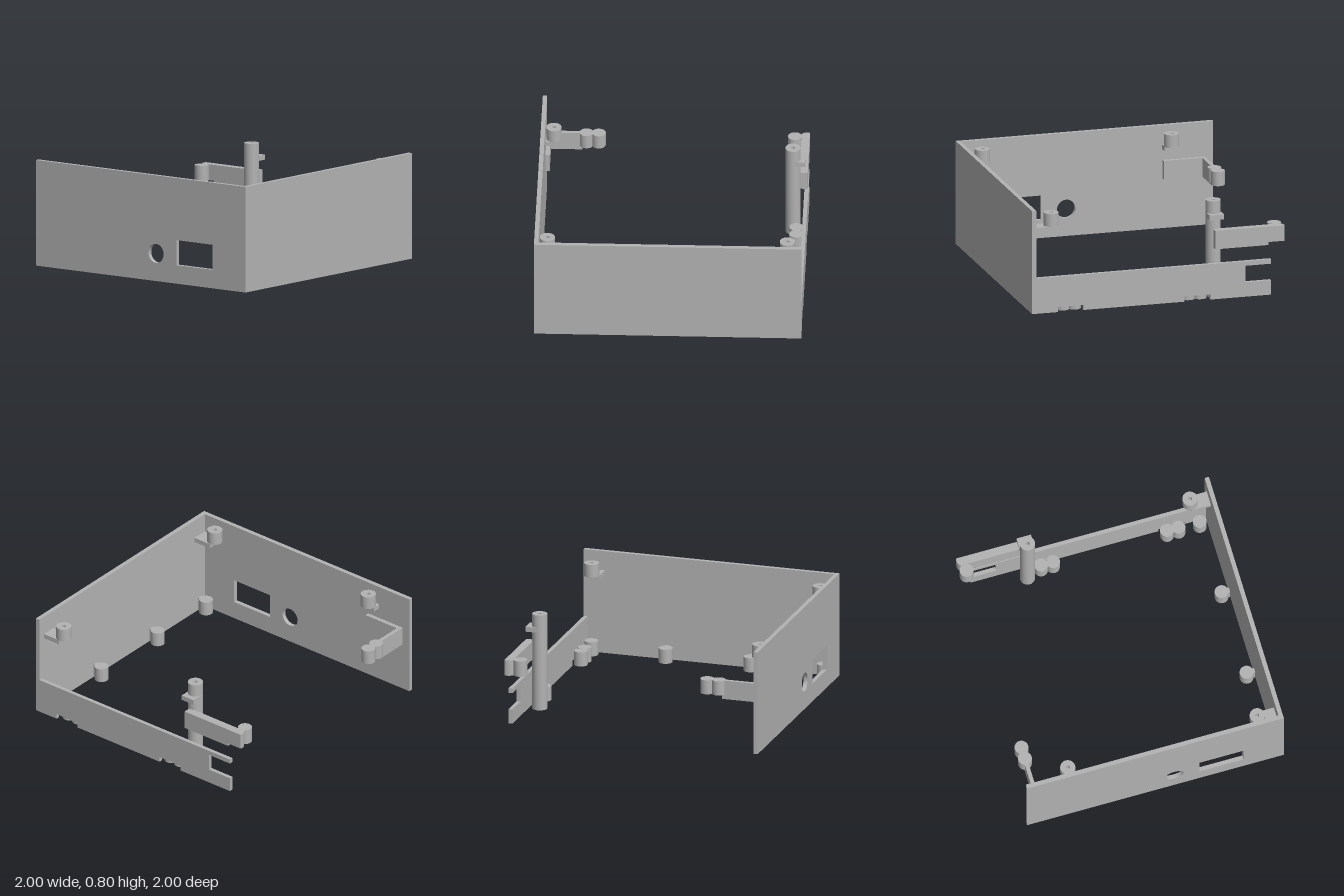
import * as THREE from 'three';
import { toCreasedNormals } from 'three/addons/utils/BufferGeometryUtils.js';

export function createModel() {
  const model = new THREE.Group();
  model.name = 'openEnclosure';
  const grey = new THREE.MeshStandardMaterial({ color: 0xb2b2b2 });
  grey.name = 'plasticGrey';

  const add = (name, geo) => {
    const mesh = new THREE.Mesh(geo, grey);
    mesh.name = name;
    model.add(mesh);
    return mesh;
  };
  const box = (name, x0, x1, y0, y1, z0, z1) =>
    add(name, new THREE.BoxGeometry(x1 - x0, y1 - y0, z1 - z0)
      .translate((x0 + x1) / 2, (y0 + y1) / 2, (z0 + z1) / 2));

  // Round boss with blind holes in the top and/or bottom
  const boss = (name, x, z, y0, y1, r, topHole, bottomHole, depth = 0.06) => {
    const p = [];
    if (bottomHole) p.push([0, y0 + depth], [bottomHole, y0 + depth], [bottomHole, y0]);
    else p.push([0, y0]);
    p.push([r, y0], [r, y1]);
    if (topHole) p.push([topHole, y1], [topHole, y1 - depth], [0, y1 - depth]);
    else p.push([0, y1]);
    const geo = new THREE.LatheGeometry(p.map(([a, b]) => new THREE.Vector2(a, b)), 32);
    add(name, toCreasedNormals(geo, 0.6).translate(x, 0, z));
  };

  // Upright plate extruded along z
  const plate = (name, shape, z0, z1) =>
    add(name, toCreasedNormals(new THREE.ExtrudeGeometry(shape,
      { depth: z1 - z0, bevelEnabled: false, curveSegments: 32 }).translate(0, 0, z0), 0.6));
  const polygon = (pts) => new THREE.Shape(pts.map(([x, y]) => new THREE.Vector2(x, y)));

  // Front wall with a round and a rectangular opening
  const front = polygon([[-1, 0], [1, 0], [1, 0.8], [-1, 0.8]]);
  front.holes.push(new THREE.Path().absarc(0.147, 0.21, 0.072, 0, Math.PI * 2, true));
  front.holes.push(polygon([[0.342, 0.14], [0.342, 0.33], [0.685, 0.33], [0.685, 0.14]]));
  plate('frontWall', front, 0.967, 1);

  // Full-height side wall
  box('sideWall', 0.967, 1, 0, 0.8, -1, 0.967);

  // Low back wall: notched underneath, cut out at its free end
  plate('backWall', polygon([
    [0.967, 0], [0.967, 0.275], [-0.865, 0.275], [-0.865, 0.24], [-0.665, 0.24],
    [-0.665, 0.112], [-0.865, 0.112], [-0.865, 0], [-0.39, 0], [-0.39, 0.04],
    [-0.19, 0.04], [-0.19, 0], [0.6, 0], [0.6, 0.04], [0.8, 0.04], [0.8, 0],
  ]), -1, -0.97);

  // Base bosses, with ribs joining the side ones to the wall
  for (const x of [-0.33, -0.237, 0.65, 0.74, 0.905])
    boss('baseBoss', x, -0.92, 0, 0.11, 0.052, 0, 0.027);
  for (const z of [-0.337, 0.33, 0.905]) {
    boss('baseBoss', 0.905, z, 0, 0.11, 0.052, 0, 0.027);
    box('bossRib', 0.945, 0.967, 0, 0.11, z - 0.018, z + 0.018);
  }

  // Screw bosses near the rim, each on a tab
  for (const [x, z] of [[0.82, -0.89], [0.82, 0.905], [-0.655, 0.905]])
    boss('screwBoss', x, z, 0.65, 0.75, 0.057, 0.015, 0);
  box('screwTab', 0.82, 0.967, 0.615, 0.65, -0.945, -0.833);
  box('screwTab', 0.82, 0.967, 0.615, 0.65, 0.845, 0.967);
  box('screwTab', -0.71, -0.6, 0.615, 0.65, 0.905, 0.967);

  // Tall screw post and its tab
  boss('screwPost', -0.445, -0.89, 0, 0.745, 0.057, 0.015, 0.02);
  box('postTab', -0.503, -0.39, 0.61, 0.648, -0.985, -0.89);

  // Rear bracket with a rounded end and its boss
  plate('rearBracket', polygon([
    [-0.43, 0.387], [-0.43, 0.53], [-0.925, 0.53], [-0.925, 0.41],
    [-0.845, 0.41], [-0.845, 0.387],
  ]), -1, -0.937);
  const end = new THREE.Shape();
  end.moveTo(-0.97, 1);
  end.absarc(-0.92, 0.98, 0.052, Math.PI - 0.4, Math.PI * 2 + 0.4, false);
  add('rearBracketEnd', toCreasedNormals(new THREE.ExtrudeGeometry(end,
    { depth: 0.12, bevelEnabled: false, curveSegments: 24 })
    .rotateX(-Math.PI / 2).translate(0, 0.41, 0), 0.6));
  boss('rearBracketBoss', -0.92, -0.888, 0.41, 0.53, 0.052, 0, 0.027);

  // Front bracket: strip on the wall, arm and two bosses
  box('frontBracketStrip', -0.935, -0.605, 0.385, 0.53, 0.935, 0.967);
  box('frontBracketArm', -0.935, -0.905, 0.385, 0.53, 0.7, 0.935);
  for (const z of [0.578, 0.67])
    boss('frontBracketBoss', -0.92, z, 0.42, 0.53, 0.052, 0, 0.027);

  return model;
}
